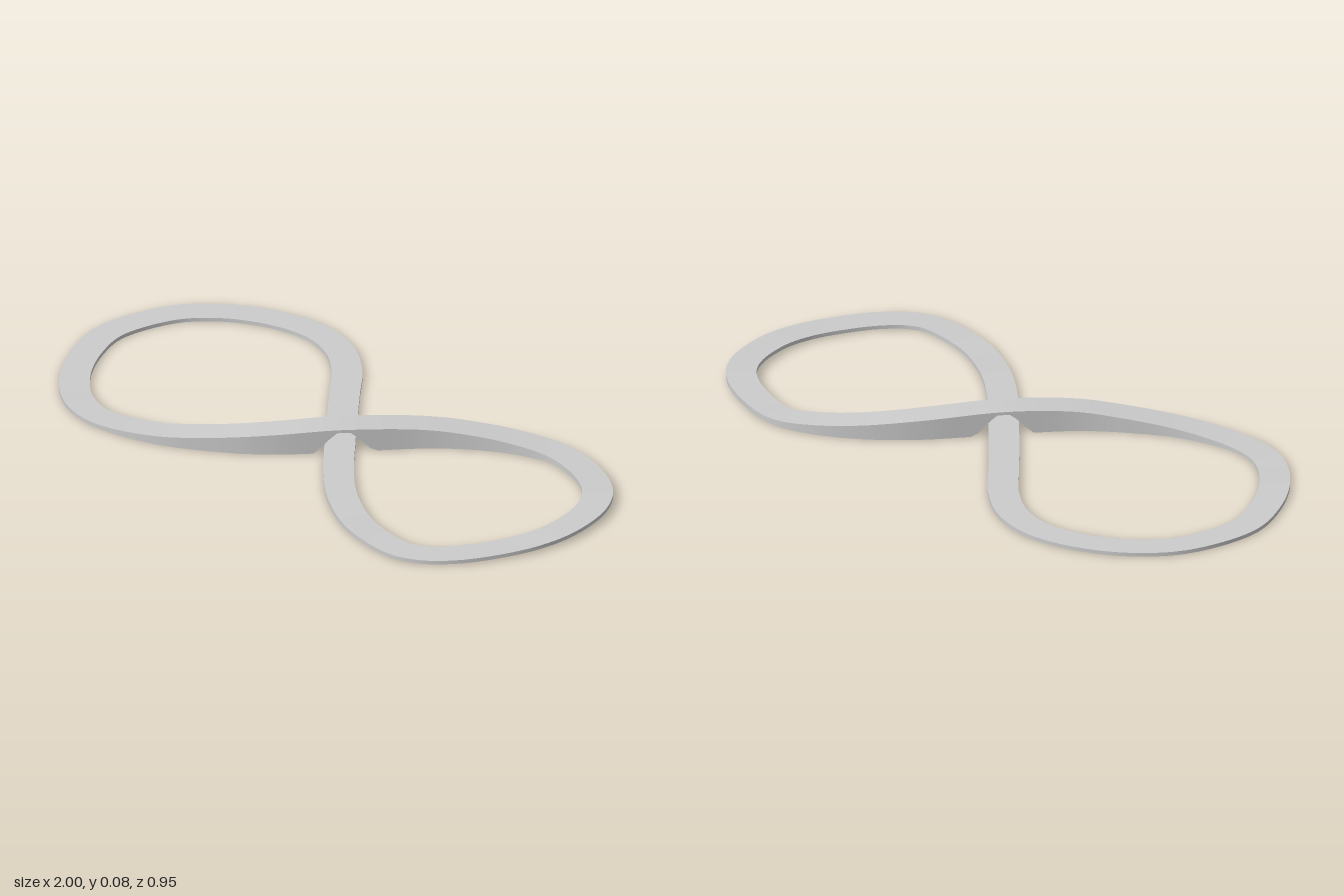
import * as THREE from 'three';
import { toCreasedNormals } from 'three/addons/utils/BufferGeometryUtils.js';

// Centre line of the track: x, z, top height, underside height
const NODES = [
  [-0.953, -0.01, 0.012, 0], [-0.905, -0.20, 0.012, 0], [-0.80, -0.325, 0.012, 0],
  [-0.655, -0.405, 0.012, 0], [-0.505, -0.432, 0.012, 0], [-0.37, -0.397, 0.012, 0],
  [-0.255, -0.313, 0.012, 0], [-0.155, -0.203, 0.012, 0], [-0.048, -0.086, 0.012, 0],
  [0.064, 0.035, 0.012, 0], [0.193, 0.17, 0.012, 0], [0.326, 0.283, 0.012, 0],
  [0.487, 0.369, 0.012, 0], [0.66, 0.401, 0.013, 0.001], [0.755, 0.375, 0.014, 0.002],
  [0.83, 0.305, 0.015, 0.003], [0.893, 0.20, 0.017, 0.005], [0.938, 0.085, 0.02, 0.008],
  [0.953, -0.037, 0.023, 0.011], [0.928, -0.175, 0.025, 0.013], [0.865, -0.275, 0.026, 0.013],
  [0.755, -0.345, 0.024, 0.009], [0.61, -0.385, 0.02, 0.002], [0.487, -0.358, 0.03, 0],
  [0.353, -0.283, 0.046, 0], [0.219, -0.165, 0.064, 0], [0.064, 0.025, 0.076, 0],
  [-0.075, 0.187, 0.066, 0], [-0.209, 0.294, 0.047, 0], [-0.37, 0.385, 0.027, 0],
  [-0.555, 0.428, 0.013, 0], [-0.70, 0.396, 0.012, 0], [-0.824, 0.289, 0.012, 0],
  [-0.914, 0.142, 0.012, 0],
];
const CROSSING = NODES[26];
const HALF_WIDTH = 0.047;
const STEPS = 408;

const loopCurve = (heightColumn) => new THREE.CatmullRomCurve3(
  NODES.map((n) => new THREE.Vector3(n[0], n[heightColumn], n[1])), true, 'catmullrom', 0.5);

export function createModel() {
  const group = new THREE.Group();
  const topCurve = loopCurve(2);
  const bottomCurve = loopCurve(3);
  const positions = [];
  const indices = [];

  // Rectangular cross-sections swept around the figure eight
  for (let i = 0; i < STEPS; i++) {
    const t = i / STEPS;
    const p = topCurve.getPoint(t);
    const ahead = topCurve.getPoint((t + 0.001) % 1);
    const behind = topCurve.getPoint((t + 0.999) % 1);
    const side = new THREE.Vector3(behind.z - ahead.z, 0, ahead.x - behind.x)
      .normalize().multiplyScalar(HALF_WIDTH);
    let bottom = Math.max(0, bottomCurve.getPoint(t).y);

    // Sloped underpass cut out of the bridge
    if (p.y > 0.05) {
      const d = Math.hypot(p.x - CROSSING[0], p.z - CROSSING[1]);
      bottom = THREE.MathUtils.clamp(0.066 - (d - 0.023) * 0.96, 0, 0.066);
    }
    positions.push(
      p.x + side.x, p.y, p.z + side.z,
      p.x - side.x, p.y, p.z - side.z,
      p.x - side.x, bottom, p.z - side.z,
      p.x + side.x, bottom, p.z + side.z);

    const a = i * 4;
    const b = ((i + 1) % STEPS) * 4;
    for (let k = 0; k < 4; k++) {
      const m = (k + 1) % 4;
      indices.push(a + k, b + k, a + m, b + k, b + m, a + m);
    }
  }

  const geometry = new THREE.BufferGeometry();
  geometry.setAttribute('position', new THREE.Float32BufferAttribute(positions, 3));
  geometry.setIndex(indices);
  const track = new THREE.Mesh(
    toCreasedNormals(geometry, 0.5),
    new THREE.MeshStandardMaterial({ color: 0xcccccc, side: THREE.DoubleSide }));
  track.name = 'figureEightTrack';
  group.add(track);
  return group;
}
